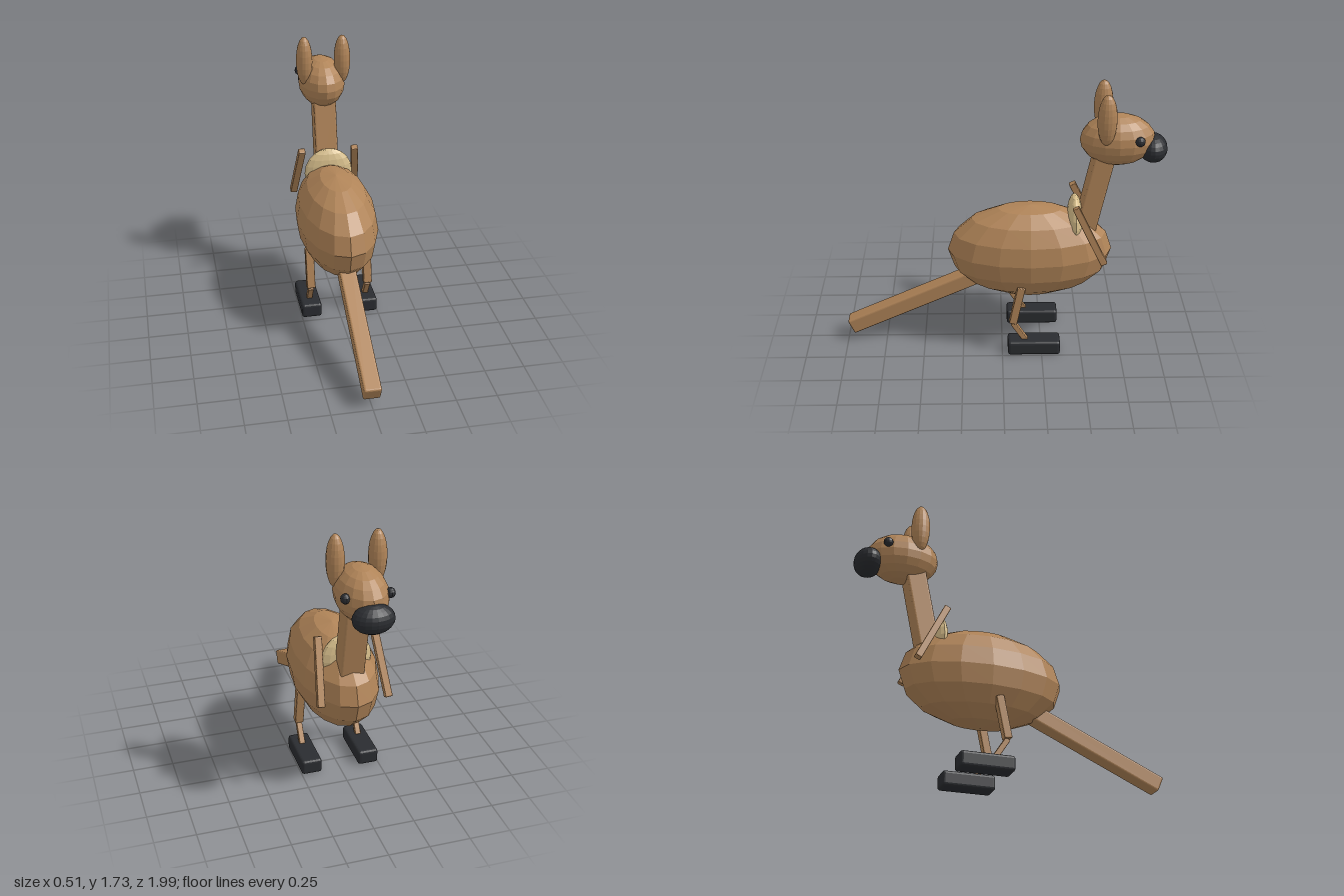
import * as THREE from 'three';
import { RoundedBoxGeometry } from 'three/addons/geometries/RoundedBoxGeometry.js';

const material = (color) => new THREE.MeshStandardMaterial({ color, flatShading: true });
const brown = material(0xb08458);
const cream = material(0xd8bf8c);
const dark = material(0x2a2c30);

export function createModel() {
  const model = new THREE.Group();

  // Faceted ellipsoid from centre and radii
  function ellipsoid(name, mat, centre, radii, columns = 16, rows = 10) {
    const mesh = new THREE.Mesh(new THREE.SphereGeometry(1, columns, rows), mat);
    mesh.name = name;
    mesh.position.set(...centre);
    mesh.scale.set(...radii);
    model.add(mesh);
  }

  // Softly bevelled bar between two points; width is across x
  function bar(name, from, to, width, depth, bevel) {
    const a = new THREE.Vector3(...from), b = new THREE.Vector3(...to);
    const y = b.clone().sub(a);
    const mesh = new THREE.Mesh(new RoundedBoxGeometry(width, y.length(), depth, 2, bevel), brown);
    y.normalize();
    const z = new THREE.Vector3(1, 0, 0).cross(y).normalize();
    const x = y.clone().cross(z);
    mesh.name = name;
    mesh.quaternion.setFromRotationMatrix(new THREE.Matrix4().makeBasis(x, y, z));
    mesh.position.copy(a).add(b).multiplyScalar(0.5);
    model.add(mesh);
  }

  // Torso, chest patch, neck and tail
  ellipsoid('body', brown, [0, 0.645, -0.175], [0.255, 0.31, 0.515], 16, 8);
  ellipsoid('chestPatch', cream, [0, 0.85, -0.453], [0.157, 0.165, 0.05]);
  bar('neck', [0, 0.7, -0.497], [0, 1.3, -0.622], 0.147, 0.125, 0.012);
  bar('tail', [0, 0.092, 0.978], [0, 0.51, 0.06], 0.106, 0.1, 0.012);

  // Head
  ellipsoid('head', brown, [0, 1.395, -0.697], [0.15, 0.16, 0.228]);
  ellipsoid('muzzle', dark, [0, 1.337, -0.912], [0.122, 0.086, 0.088], 20, 12);

  // Paired parts
  for (const [side, s] of [['left', 1], ['right', -1]]) {
    ellipsoid(side + 'Ear', brown, [s * 0.123, 1.566, -0.617], [0.053, 0.16, 0.059], 16, 12);
    ellipsoid(side + 'Eye', dark, [s * 0.13, 1.43, -0.817], [0.027, 0.03, 0.03], 12, 8);
    bar(side + 'Arm', [s * 0.173, 1.016, -0.445], [s * 0.208, 0.646, -0.627], 0.045, 0.042, 0.006);
    bar(side + 'Thigh', [s * 0.187, 0.475, -0.12], [s * 0.187, 0.212, -0.067], 0.055, 0.05, 0.007);
    bar(side + 'Shin', [s * 0.187, 0.21, -0.067], [s * 0.187, 0.085, -0.148], 0.036, 0.034, 0.005);

    const foot = new THREE.Mesh(new RoundedBoxGeometry(0.13, 0.095, 0.332, 2, 0.018), dark);
    foot.name = side + 'Foot';
    foot.position.set(s * 0.185, 0.0475, -0.201);
    model.add(foot);
  }
  return model;
}
